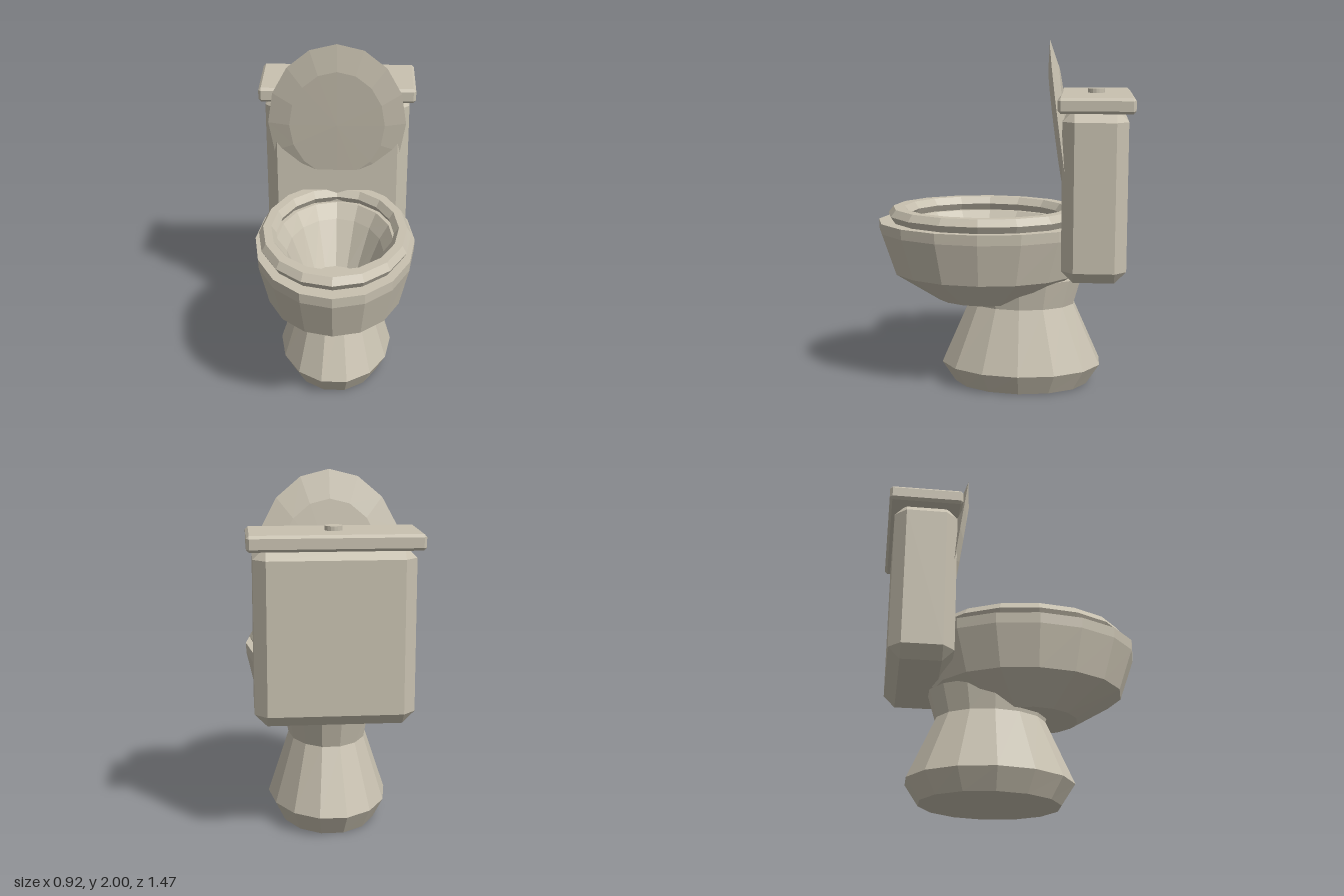
import * as THREE from 'three';
import { ConvexGeometry } from 'three/addons/geometries/ConvexGeometry.js';

// Skin a stack of elliptical rings [y, radiusX, radiusZ] with flat facets.
function loft(rings, sides, offset = 0) {
  const pos = [], index = [];
  for (const [y, rx, rz] of rings) {
    for (let j = 0; j < sides; j++) {
      const a = ((j + offset) / sides) * Math.PI * 2;
      pos.push(Math.sin(a) * rx, y, Math.cos(a) * rz);
    }
  }
  for (let i = 0; i < rings.length - 1; i++) {
    for (let j = 0; j < sides; j++) {
      const k = (j + 1) % sides;
      const a = i * sides + j, b = i * sides + k, c = b + sides, d = a + sides;
      if (rings[i][1] > 0) index.push(a, b, c);
      if (rings[i + 1][1] > 0) index.push(a, c, d);
    }
  }
  const g = new THREE.BufferGeometry();
  g.setAttribute('position', new THREE.Float32BufferAttribute(pos, 3));
  g.setIndex(index);
  const flat = g.toNonIndexed();
  flat.computeVertexNormals();
  return flat;
}

// Box with every edge and corner cut by c.
function chamferBox(w, h, d, c) {
  const pts = [];
  for (const x of [-w / 2, w / 2])
    for (const y of [-h / 2, h / 2])
      for (const z of [-d / 2, d / 2]) {
        const sx = Math.sign(x) * c, sy = Math.sign(y) * c, sz = Math.sign(z) * c;
        pts.push(
          new THREE.Vector3(x, y - sy, z - sz),
          new THREE.Vector3(x - sx, y, z - sz),
          new THREE.Vector3(x - sx, y - sy, z)
        );
      }
  return new ConvexGeometry(pts);
}

export function createModel() {
  const model = new THREE.Group();
  model.name = 'toilet';
  const ceramic = new THREE.MeshStandardMaterial({ color: 0xc8c1b0 });
  ceramic.name = 'warm ceramic';
  ceramic.flatShading = true;

  const add = (name, geometry, x, y, z) => {
    const mesh = new THREE.Mesh(geometry, ceramic);
    mesh.name = name;
    mesh.position.set(x, y, z);
    model.add(mesh);
    return mesh;
  };

  // Waisted foot; its top reaches up into the bowl
  add('pedestal', loft([
    [0, 0, 0], [0, 0.28, 0.395], [0.12, 0.34, 0.473],
    [0.48, 0.222, 0.313], [0.64, 0.25, 0.359], [0.64, 0, 0],
  ], 14, 0.5), 0, 0, -0.105);

  // Bowl: outside going up, over the rim, then down the inside
  add('bowl', loft([
    [0.5, 0, 0], [0.5, 0.225, 0.28], [0.66, 0.4, 0.54], [0.9, 0.455, 0.622],
    [0.96, 0.458, 0.625], [0.96, 0.335, 0.445], [0.88, 0.28, 0.38],
    [0.64, 0.175, 0.22], [0.56, 0, 0],
  ], 16), 0, 0, 0.11);

  // Seat ring with bevelled edges
  add('seat', loft([
    [0.96, 0.415, 0.54], [1.0, 0.437, 0.567], [1.04, 0.412, 0.537],
    [1.04, 0.365, 0.47], [1.0, 0.337, 0.44], [0.96, 0.36, 0.465],
    [0.96, 0.415, 0.54],
  ], 16), 0, 0, 0.11);

  // Raised lid, a thin lens leaning back on the tank
  const lid = add('lid', loft([
    [-0.04, 0, 0], [-0.033, 0.28, 0.355], [0, 0.405, 0.515],
    [0.03, 0.28, 0.355], [0.033, 0, 0],
  ], 16), 0, 1.49, -0.332);
  lid.rotation.x = Math.PI / 2 + 0.135;

  // Water tank, its cover and the flush button
  add('tank', chamferBox(0.85, 0.955, 0.358, 0.066), 0, 1.16, -0.523);
  add('tankCover', chamferBox(0.915, 0.085, 0.415, 0.015), 0, 1.663, -0.528);
  add('flushButton', new THREE.CylinderGeometry(0.048, 0.048, 0.03, 16), 0, 1.715, -0.527);

  return model;
}
